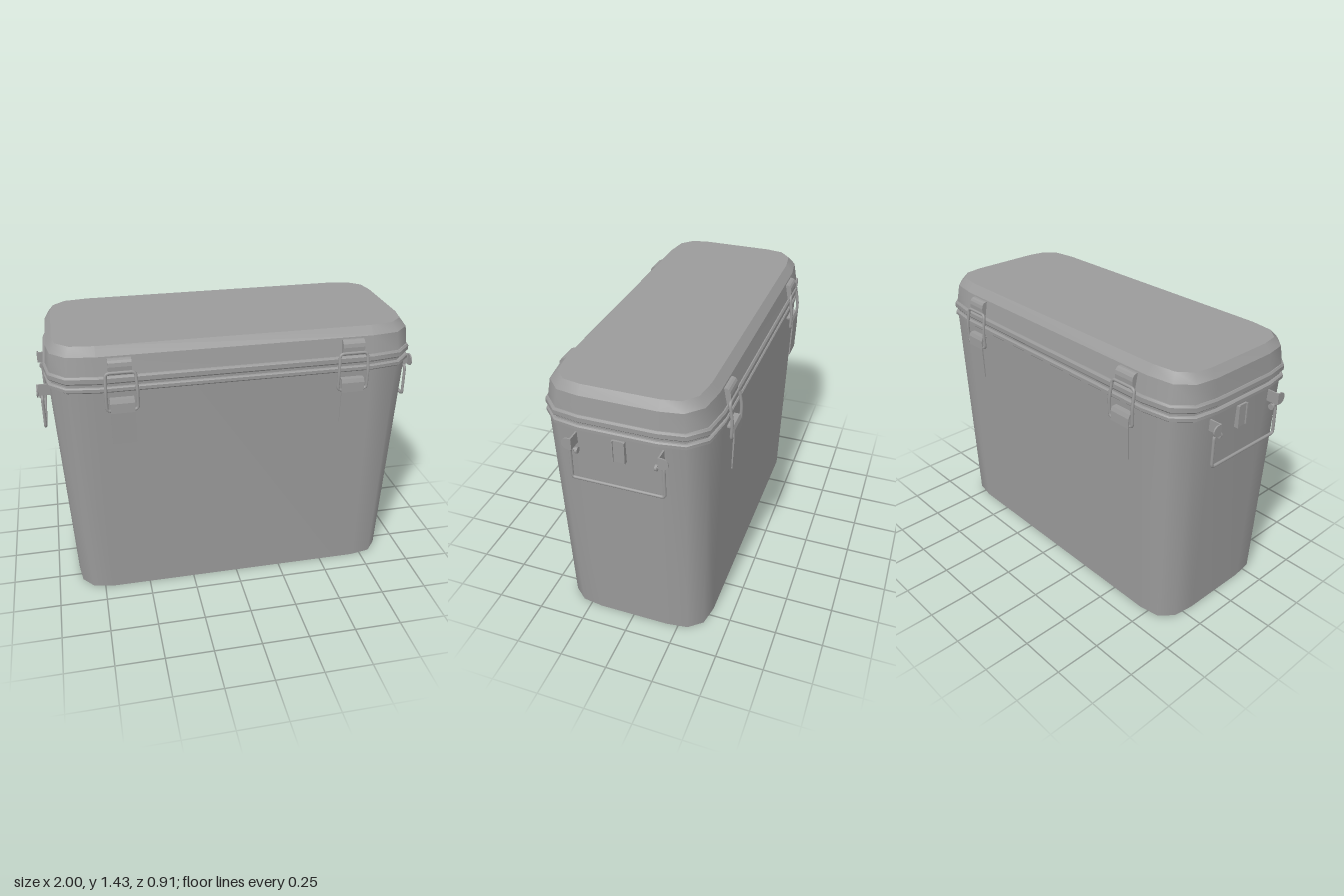
import * as THREE from 'three';

const material = new THREE.MeshStandardMaterial({ color: 0x9a9a9a, side: THREE.DoubleSide });

function mesh(name, geometry, x = 0, y = 0, z = 0) {
  const m = new THREE.Mesh(geometry, material);
  m.name = name;
  m.position.set(x, y, z);
  return m;
}

// Rounded oblong outline, running +x, -z, -x, +z
function outline([y, hx, hz]) {
  const q = [[0, 1], [0.55, 0.92], [0.9, 0.6], [1, 0]].map(([g, f]) =>
    [0.7 + (hx - 0.7) * f, -(0.19 + (hz - 0.19) * g)]);
  const r = [...q].reverse();
  return [
    ...q, ...r.map(([x, z]) => [-x, z]),
    ...q.map(([x, z]) => [-x, -z]), ...r.map(([x, z]) => [x, -z]),
  ].map(([x, z]) => [x, y, z]);
}

// Stack of [y, half width, half depth] sections; smooth around, sharp between bands
function loft(sections) {
  const pos = [], idx = [];
  const rings = sections.map(outline);
  const n = rings[0].length;
  for (let k = 0; k + 1 < rings.length; k++) {
    const a = pos.length / 3, b = a + n;
    pos.push(...rings[k].flat(), ...rings[k + 1].flat());
    for (let i = 0; i < n; i++) {
      const j = (i + 1) % n;
      idx.push(a + i, a + j, b + i, b + i, a + j, b + j);
    }
  }
  const bottom = pos.length / 3, top = bottom + n;
  pos.push(...rings[0].flat(), ...rings[rings.length - 1].flat());
  for (let i = 1; i + 1 < n; i++) {
    idx.push(bottom, bottom + i + 1, bottom + i, top, top + i, top + i + 1);
  }
  const g = new THREE.BufferGeometry();
  g.setAttribute('position', new THREE.Float32BufferAttribute(pos, 3));
  g.setIndex(idx);
  g.computeVertexNormals();
  return g;
}

// Side profile of [z, y] points, extruded across x
function profile(points, width) {
  const shape = new THREE.Shape(points.map(([z, y]) => new THREE.Vector2(z, y)));
  const g = new THREE.ExtrudeGeometry(shape, { depth: width, bevelEnabled: false });
  return g.translate(0, 0, -width / 2).rotateY(-Math.PI / 2);
}

// Bent wire with rounded corners
function wire(points, bend, radius, closed) {
  const p = points.map((a) => new THREE.Vector3(...a));
  const n = p.length, path = new THREE.CurvePath();
  const toward = (a, b) => a.clone().add(b.clone().sub(a).setLength(bend));
  let last = closed ? toward(p[0], p[1]) : p[0];
  for (let i = 1; i < (closed ? n + 1 : n - 1); i++) {
    const c = p[i % n], into = toward(c, p[i - 1]), out = toward(c, p[(i + 1) % n]);
    path.add(new THREE.LineCurve3(last, into));
    path.add(new THREE.QuadraticBezierCurve3(into, c, out));
    last = out;
  }
  if (!closed) path.add(new THREE.LineCurve3(last, p[n - 1]));
  return new THREE.TubeGeometry(path, 96, radius, 8, closed);
}

// Draw latch: lever plate, wire loop and the catch on the lid
function makeLatch() {
  const latch = new THREE.Group();
  latch.name = 'latch';
  latch.add(mesh('latchLever', profile([
    [0.446, 0.94], [0.452, 0.94], [0.457, 1.11], [0.455, 1.16], [0.447, 1.18],
    [0.41, 1.18], [0.41, 1.172], [0.442, 1.17], [0.448, 1.15], [0.449, 1.11],
  ], 0.12)));
  latch.add(mesh('latchLoop', wire([
    [-0.077, 1.12, 0.445], [0.077, 1.12, 0.445],
    [0.077, 1.22, 0.448], [0.073, 1.315, 0.432],
    [-0.073, 1.315, 0.432], [-0.077, 1.22, 0.448],
  ], 0.022, 0.008, true)));
  latch.add(mesh('latchCatch', profile([
    [0.4, 1.298], [0.424, 1.3], [0.431, 1.32], [0.432, 1.345], [0.428, 1.364],
    [0.42, 1.375], [0.409, 1.38], [0.39, 1.38],
  ], 0.115)));
  return latch;
}

// Wire carrying handle with two ears and a centre bracket, on the +x end
function makeHandle() {
  const handle = new THREE.Group();
  handle.name = 'carryHandle';
  handle.add(mesh('handleBail', wire([
    [0.976, 1.122, 0.195], [0.976, 1.122, 0.23], [0.976, 0.957, 0.232],
    [0.976, 0.957, -0.232], [0.976, 1.122, -0.23], [0.976, 1.122, -0.195],
  ], 0.017, 0.008, false)));
  for (const s of [1, -1]) {
    const ear = new THREE.Shape();
    ear.moveTo(-0.21, 1.19);
    ear.lineTo(-0.21, 1.13);
    ear.lineTo(-0.235, 1.13);
    ear.absarc(-0.23, 1.16, 0.03, -Math.PI / 2, Math.PI / 2, true);
    const flange = new THREE.ExtrudeGeometry(ear, { depth: 0.007, bevelEnabled: false });
    flange.rotateY(Math.PI / 2);
    if (s < 0) flange.rotateX(Math.PI).translate(0, 2.32, 0);
    handle.add(mesh('earFlange', flange, 0.993));
    handle.add(mesh('earArm', new THREE.BoxGeometry(0.068, 0.06, 0.008), 0.964, 1.16, s * 0.214));
    const stop = new THREE.CylinderGeometry(0.016, 0.016, 0.012, 12).rotateX(Math.PI / 2);
    handle.add(mesh('bailStop', stop, 0.976, 1.118, s * 0.195));
    handle.add(mesh('bracketFin', new THREE.BoxGeometry(0.035, 0.115, 0.007), 0.94, 1.135, s * 0.029));
  }
  handle.add(mesh('bracketPlate', new THREE.BoxGeometry(0.03, 0.115, 0.06), 0.935, 1.135, 0));
  return handle;
}

export function createModel() {
  const model = new THREE.Group();
  model.name = 'coolBox';

  model.add(mesh('body', loft([[0, 0.885, 0.392], [1.215, 0.94, 0.418]])));
  model.add(mesh('bodyRim', loft([
    [1.208, 0.945, 0.418], [1.216, 0.957, 0.427], [1.232, 0.957, 0.427], [1.238, 0.95, 0.422],
  ])));
  model.add(mesh('seal', loft([[1.235, 0.94, 0.412], [1.258, 0.94, 0.412]])));
  model.add(mesh('lidRim', loft([
    [1.255, 0.95, 0.422], [1.262, 0.957, 0.427], [1.285, 0.957, 0.427], [1.295, 0.95, 0.42],
  ])));
  model.add(mesh('lid', loft([[1.29, 0.946, 0.415], [1.388, 0.935, 0.396], [1.43, 0.902, 0.357]])));

  // Two latches front and back, one handle on each end
  for (const turn of [0, Math.PI]) {
    for (const x of [-0.59, 0.59]) {
      const latch = makeLatch();
      latch.position.x = x;
      latch.rotation.y = turn;
      model.add(latch);
    }
    const handle = makeHandle();
    handle.rotation.y = turn;
    model.add(handle);
  }
  return model;
}
